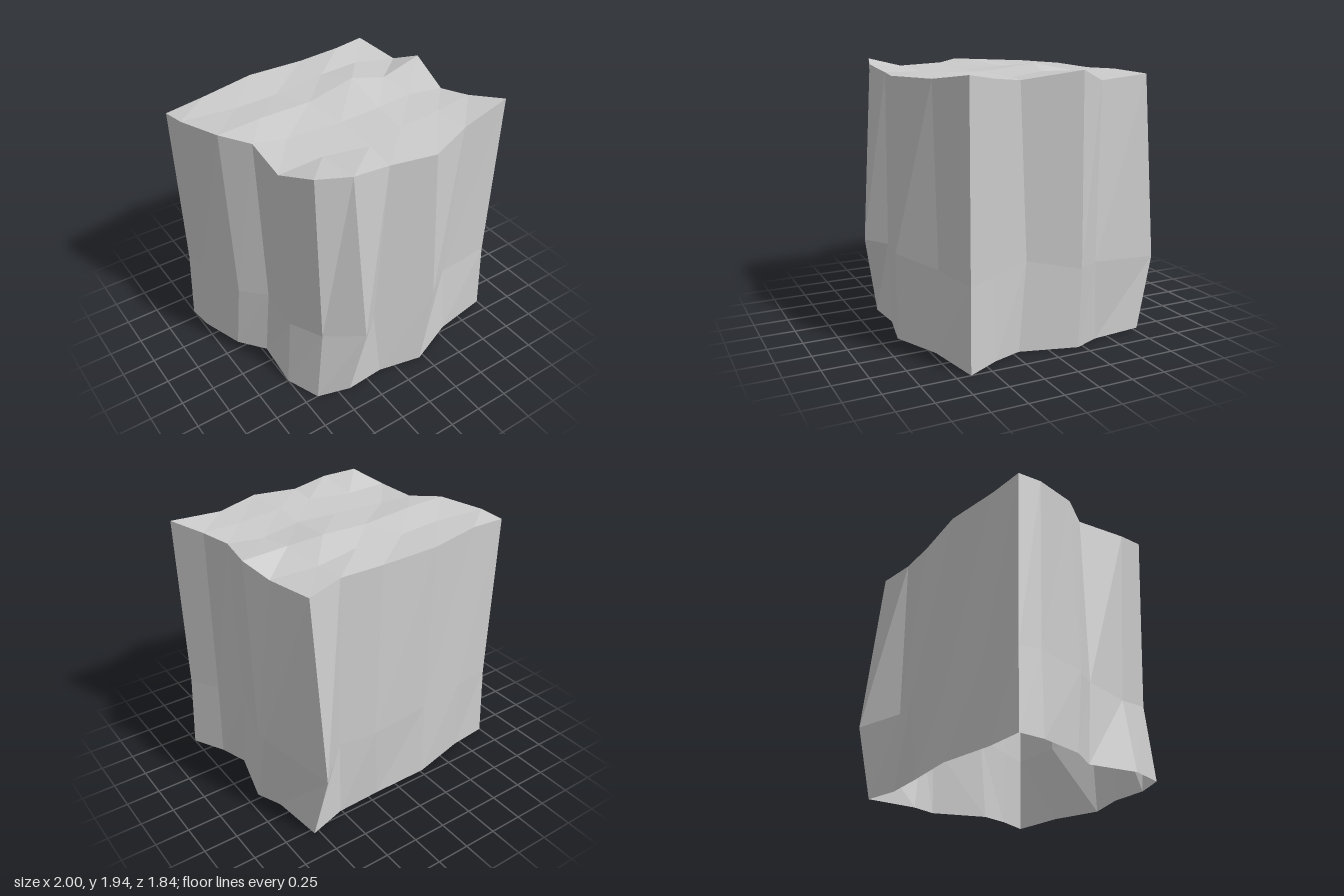
import * as THREE from 'three';

// Top surface: a 6 x 6 lattice of [x, y, z], rows from back to front
const TOP = [
  [[-1, 1.87, -0.57], [-0.7, 1.89, -0.6], [-0.27, 1.89, -0.7], [0.17, 1.88, -0.7], [0.51, 1.89, -0.71], [0.79, 1.87, -0.79]],
  [[-0.98, 1.89, -0.38], [-0.58, 1.88, -0.35], [-0.25, 1.87, -0.37], [0.17, 1.89, -0.41], [0.51, 1.87, -0.46], [0.83, 1.84, -0.4]],
  [[-0.87, 1.91, -0.06], [-0.53, 1.91, -0.09], [-0.12, 1.89, -0.12], [0.28, 1.93, -0.18], [0.52, 1.89, -0.12], [0.91, 1.92, -0.21]],
  [[-0.72, 1.89, 0.13], [-0.48, 1.87, 0.17], [-0.08, 1.87, 0.2], [0.24, 1.88, 0.2], [0.55, 1.86, 0.14], [0.8, 1.86, 0.2]],
  [[-0.75, 1.87, 0.5], [-0.41, 1.87, 0.48], [-0.09, 1.87, 0.55], [0.2, 1.88, 0.5], [0.56, 1.87, 0.45], [0.87, 1.88, 0.41]],
  [[-0.65, 1.94, 0.75], [-0.41, 1.91, 0.82], [-0.12, 1.87, 0.8], [0.21, 1.87, 0.87], [0.57, 1.87, 0.72], [1, 1.92, 0.65]],
];

// Irregular ring around the walls, from the front right corner towards +x
const MIDDLE = [
  [-0.59, 0.57, 0.73], [-0.35, 0.6, 0.92], [-0.19, 0.59, 0.79], [0.27, 0.65, 0.89], [0.54, 0.58, 0.68],
  [0.98, 0.58, 0.64], [0.86, 0.59, 0.42], [0.79, 0.64, 0.14], [0.89, 0.56, -0.24], [0.9, 0.6, -0.34],
  [0.76, 0.53, -0.92], [0.51, 0.6, -0.7], [0.23, 0.6, -0.74], [-0.26, 0.6, -0.69], [-0.64, 0.6, -0.63],
  [-0.98, 0.58, -0.56], [-0.96, 0.6, -0.38], [-0.85, 0.58, 0], [-0.7, 0.6, 0.18], [-0.69, 0.53, 0.46],
];

// Two triangles, corners given counter-clockwise as seen from outside
function quad(out, bl, br, tr, tl) {
  out.push(...tl, ...bl, ...tr, ...bl, ...br, ...tr);
}

function facetedMesh(name, positions, material) {
  const geometry = new THREE.BufferGeometry();
  geometry.setAttribute('position', new THREE.Float32BufferAttribute(positions, 3));
  geometry.computeVertexNormals();
  const mesh = new THREE.Mesh(geometry, material);
  mesh.name = name;
  return mesh;
}

export function createModel() {
  const group = new THREE.Group();
  group.name = 'rockBlock';
  const material = new THREE.MeshStandardMaterial({
    color: 0xcccccc, flatShading: true, side: THREE.DoubleSide,
  });

  // Uneven top
  const top = [];
  for (let r = 0; r < 5; r++) {
    for (let c = 0; c < 5; c++) {
      quad(top, TOP[r + 1][c], TOP[r + 1][c + 1], TOP[r][c + 1], TOP[r][c]);
    }
  }
  group.add(facetedMesh('rockTop', top, material));

  // Rim of the top, dropped to the ground for the foot (the underside is open)
  const rim = [];
  for (let i = 0; i < 5; i++) rim.push(TOP[5][i]);
  for (let i = 5; i > 0; i--) rim.push(TOP[i][5]);
  for (let i = 5; i > 0; i--) rim.push(TOP[0][i]);
  for (let i = 0; i < 5; i++) rim.push(TOP[i][0]);
  const foot = rim.map(([x, , z]) => [x, 0, z]);

  // Walls: foot to middle ring, middle ring to rim
  const rings = [foot, MIDDLE, rim];
  const walls = [];
  for (let k = 0; k < 2; k++) {
    for (let i = 0; i < rim.length; i++) {
      const j = (i + 1) % rim.length;
      quad(walls, rings[k][i], rings[k][j], rings[k + 1][j], rings[k + 1][i]);
    }
  }
  group.add(facetedMesh('rockWalls', walls, material));

  return group;
}
